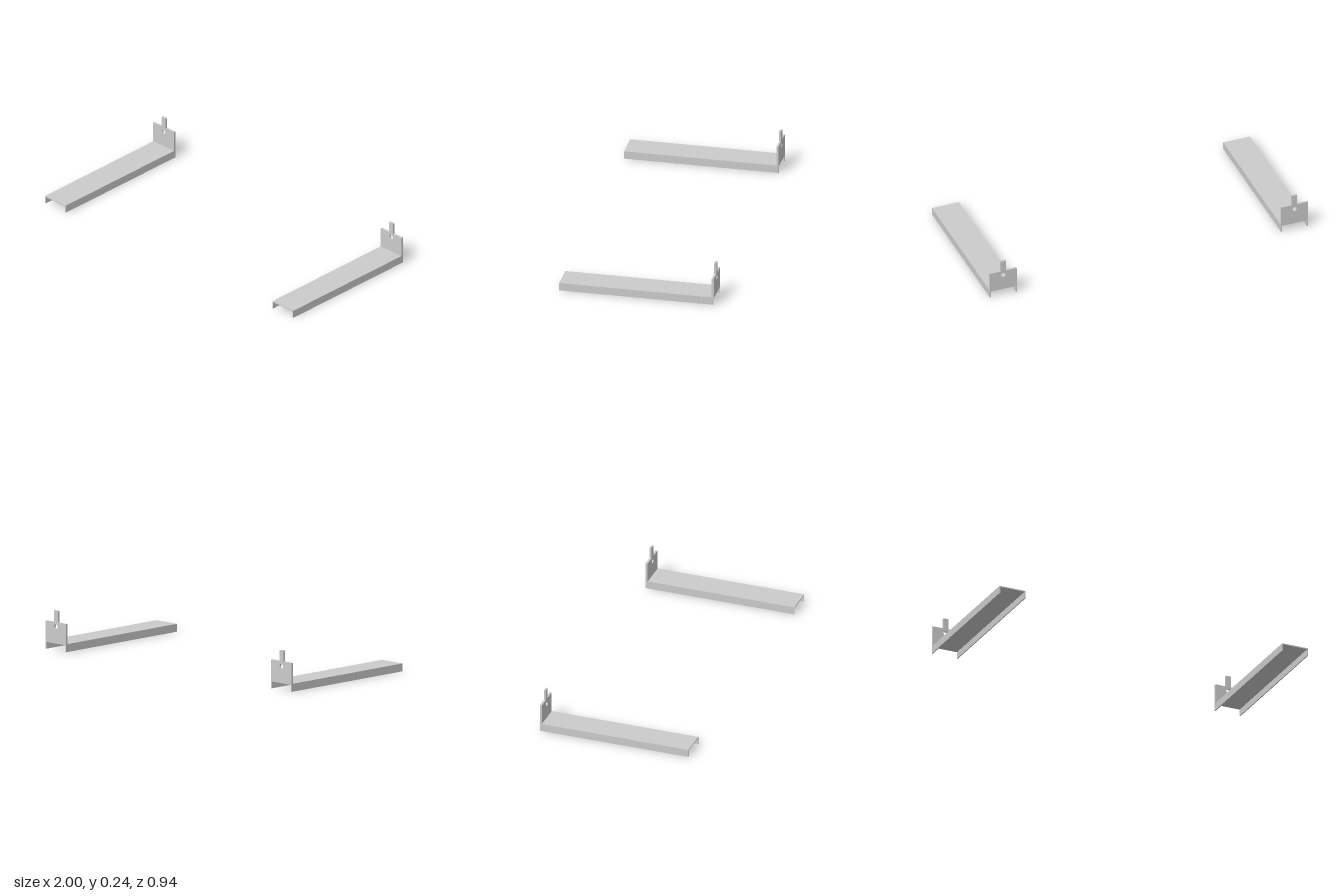
import * as THREE from 'three';

const material = new THREE.MeshStandardMaterial({ color: 0xcccccc, flatShading: true });

const WIDTH = 0.168, LENGTH = 0.925, HEIGHT = 0.047;
const WALL = 0.006, PLATE = 0.013, TAB = 0.032, TOP = 0.236;

function outline(points) {
  return new THREE.Shape(points.map(([x, y]) => new THREE.Vector2(x, y)));
}

function extruded(name, shape, depth) {
  const geometry = new THREE.ExtrudeGeometry(shape, { depth, bevelEnabled: false, curveSegments: 16 });
  const mesh = new THREE.Mesh(geometry, material);
  mesh.name = name;
  return mesh;
}

// One bracket, with its back face at z = 0
function createBracket(name, shoulder) {
  const bracket = new THREE.Group();
  bracket.name = name;
  const w = WIDTH / 2, t = TAB / 2;

  // Downward-open channel
  bracket.add(extruded('channel', outline([
    [-w, 0], [-w + WALL, 0], [-w + WALL, HEIGHT - WALL], [w - WALL, HEIGHT - WALL],
    [w - WALL, 0], [w, 0], [w, HEIGHT], [-w, HEIGHT],
  ]), LENGTH));

  // Upright end plate with a narrow tab and a screw hole
  const plate = outline([
    [-w, HEIGHT], [w, HEIGHT], [w, shoulder], [t, shoulder],
    [t, TOP], [-t, TOP], [-t, shoulder], [-w, shoulder],
  ]);
  const hole = new THREE.Path();
  hole.absarc(0, 0.14, 0.014, 0, Math.PI * 2, true);
  plate.holes.push(hole);
  bracket.add(extruded('endPlate', plate, PLATE));
  return bracket;
}

export function createModel() {
  const model = new THREE.Group();
  model.name = 'bracketPair';

  // The two brackets are slightly staggered front to back
  const right = createBracket('rightBracket', 0.171);
  right.position.set(-1 + WIDTH / 2, 0, -0.457);
  const left = createBracket('leftBracket', 0.167);
  left.position.set(1 - WIDTH / 2, 0, -0.469);
  model.add(right, left);
  return model;
}
